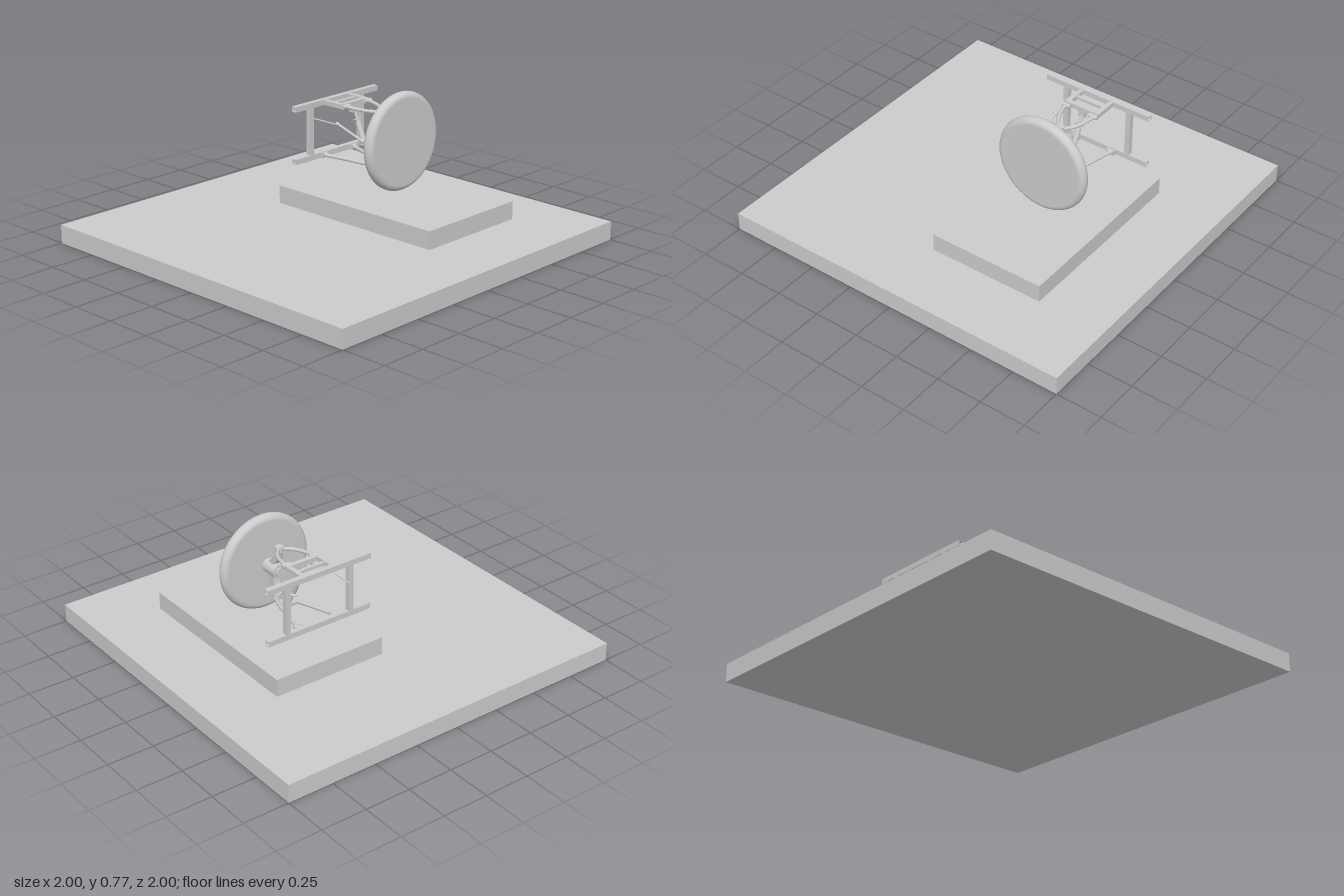
import * as THREE from 'three';

const V = (x, y, z) => new THREE.Vector3(x, y, z);
const CX = 0.307; // wheel and suspension centre plane

export function createModel() {
  const model = new THREE.Group();
  const mat = new THREE.MeshStandardMaterial({ color: 0xcccccc });

  const add = (name, geo, pos, parent = model) => {
    const m = new THREE.Mesh(geo, mat);
    m.name = name;
    if (pos) m.position.copy(pos);
    parent.add(m);
    return m;
  };
  const box = (name, x0, x1, y0, y1, z0, z1) =>
    add(name, new THREE.BoxGeometry(x1 - x0, y1 - y0, z1 - z0),
      V((x0 + x1) / 2, (y0 + y1) / 2, (z0 + z1) / 2));
  // Round bar between two points
  const rod = (name, a, b, r, r2 = r) => {
    const m = add(name, new THREE.CylinderGeometry(r2, r, a.distanceTo(b), 20), a.clone().lerp(b, 0.5));
    m.quaternion.setFromUnitVectors(V(0, 1, 0), b.clone().sub(a).normalize());
    return m;
  };
  const ball = (name, p, r) => add(name, new THREE.SphereGeometry(r, 16, 12), p);
  const tube = (name, pts, r) =>
    add(name, new THREE.TubeGeometry(new THREE.CatmullRomCurve3(pts), 32, r, 10));

  // Ground slab and the raised plate
  box('groundSlab', -1, 1, 0, 0.1, -1, 1);
  box('raisedPlate', -0.01, 0.637, 0.117, 0.214, -0.408, 0.64);

  // Wheel: flat faces with a rounded rim
  const profile = [new THREE.Vector2(0, -0.031), new THREE.Vector2(0.231, -0.031)];
  for (let i = 1; i < 16; i++) {
    const t = -Math.PI / 2 + (Math.PI * i) / 16;
    profile.push(new THREE.Vector2(0.231 + 0.031 * Math.cos(t), 0.031 * Math.sin(t)));
  }
  profile.push(new THREE.Vector2(0.231, 0.031), new THREE.Vector2(0, 0.031));
  add('wheel', new THREE.LatheGeometry(profile, 72), V(CX, 0.507, 0.159)).rotation.x = Math.PI / 2;

  // Hub and axle
  rod('axle', V(CX, 0.505, 0.1), V(CX, 0.505, 0.14), 0.026);
  rod('hubFlange', V(CX, 0.505, 0.108), V(CX, 0.505, 0.118), 0.036);
  rod('hub', V(CX, 0.505, 0.018), V(CX, 0.505, 0.108), 0.039);
  rod('hubCap', V(CX, 0.505, 0.008), V(CX, 0.505, 0.018), 0.026);

  // Upright: C-shaped plate seen from the side, drawn in (z, y)
  const s = new THREE.Shape();
  s.moveTo(0.008, 0.622);
  s.lineTo(0.034, 0.622);
  s.quadraticCurveTo(0.04, 0.58, 0.085, 0.55);
  s.lineTo(0.092, 0.46);
  s.quadraticCurveTo(0.092, 0.42, 0.058, 0.395);
  s.lineTo(0.032, 0.395);
  s.quadraticCurveTo(0.05, 0.43, 0.05, 0.47);
  s.lineTo(0.05, 0.54);
  s.quadraticCurveTo(0.012, 0.56, 0.008, 0.622);
  const plate = new THREE.ExtrudeGeometry(s, { depth: 0.036, bevelEnabled: false, curveSegments: 10 });
  plate.rotateY(-Math.PI / 2);
  add('upright', plate, V(CX + 0.018, 0, 0));

  // Hollow square rails of the chassis, with posts between
  const railShape = new THREE.Shape([[-1, -1], [1, -1], [1, 1], [-1, 1]].map(([x, y]) => new THREE.Vector2(x * 0.0145, y * 0.0145)));
  railShape.holes.push(new THREE.Path([[-1, -1], [-1, 1], [1, 1], [1, -1]].map(([x, y]) => new THREE.Vector2(x * 0.0115, y * 0.0115))));
  for (const y of [0.362, 0.646]) {
    const rail = new THREE.ExtrudeGeometry(railShape, { depth: 0.62, bevelEnabled: false });
    rail.rotateY(Math.PI / 2);
    add('chassisRail', rail, V(0, y, -0.307));
  }
  for (const x of [0.12, 0.5]) box('chassisPost', x - 0.014, x + 0.014, 0.376, 0.632, -0.321, -0.293);

  // Upper bracket reaching forward from the top rail
  for (const side of [-1, 1]) {
    const x = CX + side * 0.09;
    box('bracketArm', x - 0.012, x + 0.012, 0.634, 0.658, -0.293, -0.165);
  }
  box('bracketFrontBar', CX - 0.102, CX + 0.102, 0.634, 0.658, -0.187, -0.163);
  box('bracketMiddleBar', CX - 0.08, CX + 0.08, 0.638, 0.654, -0.25, -0.232);
  box('shockMount', CX - 0.018, CX + 0.018, 0.6, 0.636, -0.188, -0.162);

  // Wishbones, mirrored about the centre plane
  for (const side of [-1, 1]) {
    const at = (dx, y, z) => V(CX + side * dx, y, z);
    tube('upperArm', [at(0.083, 0.647, -0.15), at(0.076, 0.645, -0.1), at(0.052, 0.64, -0.035), at(0.014, 0.636, 0.012)], 0.01);
    rod('upperPivot', at(0.058, 0.647, -0.15), at(0.106, 0.647, -0.15), 0.012);
    tube('lowerArm', [at(0.108, 0.364, -0.275), at(0.08, 0.36, -0.17), at(0.048, 0.353, -0.05), at(0.014, 0.35, 0.04)], 0.01);
    rod('lowerPivot', at(0.09, 0.364, -0.28), at(0.128, 0.364, -0.28), 0.013);
    for (const dx of [0.092, 0.126]) {
      const x = CX + side * dx;
      box('lowerPivotEar', x - 0.004, x + 0.004, 0.35, 0.378, -0.295, -0.266);
    }
  }
  box('lowerCrossBar', CX - 0.055, CX + 0.055, 0.345, 0.361, -0.07, -0.05);

  // Ball joints at the outer ends of the arms
  rod('upperJointHousing', V(CX, 0.624, 0.02), V(CX, 0.65, 0.02), 0.022);
  ball('upperJoint', V(CX, 0.618, 0.02), 0.015);
  rod('lowerJointHousing', V(CX, 0.343, 0.045), V(CX, 0.374, 0.045), 0.024);
  rod('lowerJointStud', V(CX, 0.37, 0.045), V(CX, 0.4, 0.045), 0.011);

  // Shock absorber
  const top = V(CX, 0.63, -0.175), foot = V(CX, 0.358, -0.06);
  const on = (t) => foot.clone().lerp(top, t);
  rod('shockShaft', foot, top, 0.007);
  rod('shockBody', on(0.3), on(0.72), 0.015);
  for (const t of [0.3, 0.76]) rod('shockCollar', on(t - 0.01), on(t + 0.01), 0.026);
  for (const p of [foot, top]) rod('shockEye', p.clone().add(V(-0.02, 0, 0)), p.clone().add(V(0.02, 0, 0)), 0.012);

  // Steering: knuckle arm, tie rod and rack rod
  tube('steeringArm', [V(0.29, 0.505, 0.085), V(0.25, 0.505, 0.082), V(0.232, 0.507, 0.04), V(0.162, 0.51, 0.03)], 0.008);
  ball('tieRodEnd', V(0.16, 0.51, 0.03), 0.012);
  rod('tieRod', V(0.16, 0.51, 0.03), V(0.16, 0.57, -0.155), 0.0065);
  ball('rackEnd', V(0.16, 0.567, -0.15), 0.011);
  rod('rackRod', V(0.16, 0.562, -0.14), V(0.16, 0.562, -0.36), 0.004);

  return model;
}
